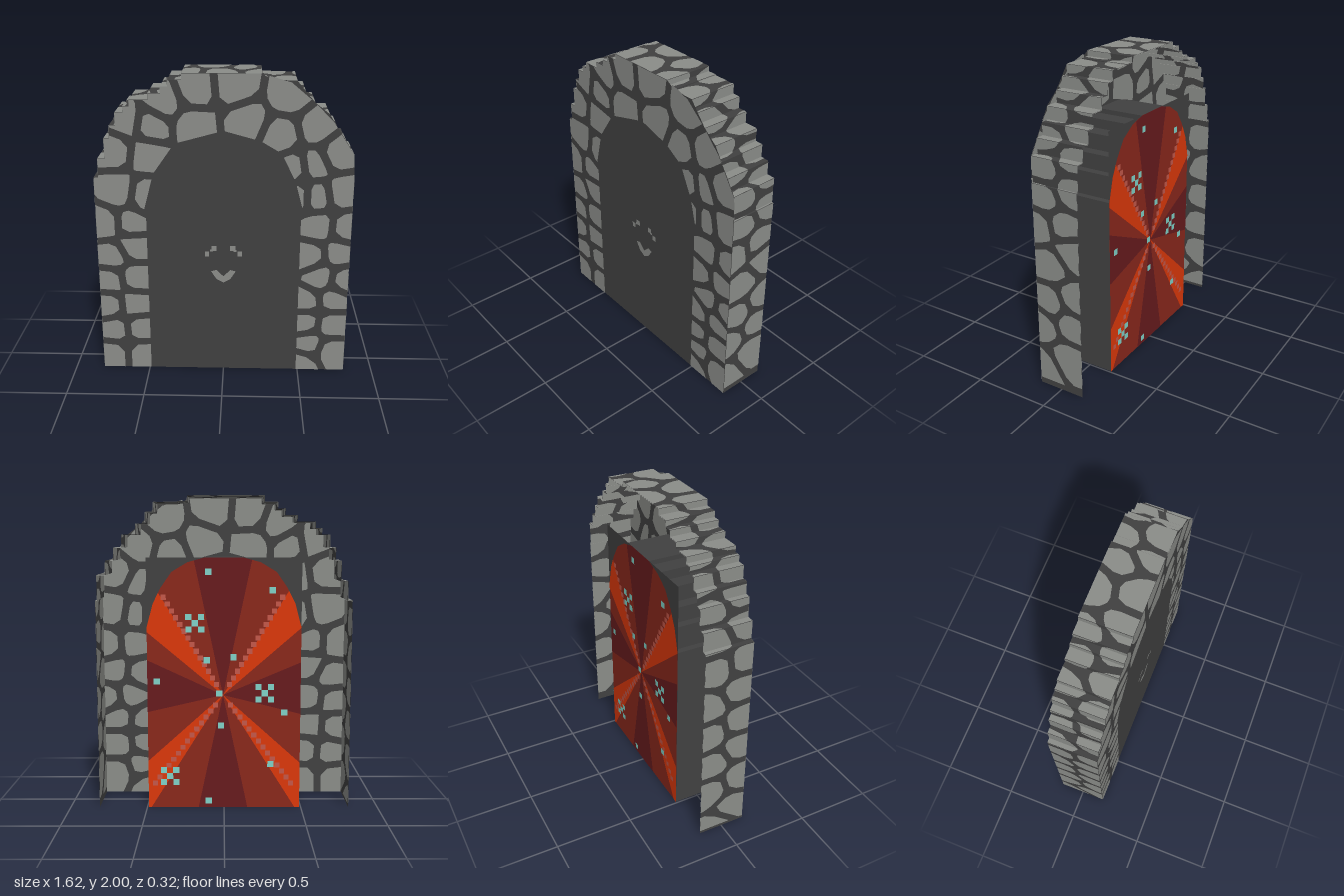
import * as THREE from 'three';

const Z = 0.156;      // half depth
const LIFT = 0.002;   // how far painted plates stand off

const mat = (name, color) =>
  Object.assign(new THREE.MeshStandardMaterial({ color, side: THREE.DoubleSide }), { name });

// Staircase contour: adds the inner corner between each pair of outer corners
function stair(pts) {
  const out = [pts[0]];
  for (let i = 1; i < pts.length; i++) {
    const [a, b] = [pts[i - 1], pts[i]];
    if (a[0] !== b[0] && a[1] !== b[1])
      out.push([Math.abs(a[0]) < Math.abs(b[0]) ? a[0] : b[0], Math.min(a[1], b[1])]);
    out.push(b);
  }
  return out;
}

// Keeps the part of a convex polygon where a*x + b*y <= c
function clip(poly, a, b, c) {
  const out = [];
  poly.forEach((p, i) => {
    const q = poly[(i + 1) % poly.length];
    const dp = a * p[0] + b * p[1] - c, dq = a * q[0] + b * q[1] - c;
    if (dp <= 0) out.push(p);
    if (dp * dq < 0) {
      const t = dp / (dp - dq);
      out.push([p[0] + (q[0] - p[0]) * t, p[1] + (q[1] - p[1]) * t]);
    }
  });
  return out;
}

// Edges of a counter-clockwise polygon as outward half-planes
const edges = (poly) => poly.map((p, i) => {
  const q = poly[(i + 1) % poly.length];
  const a = q[1] - p[1], b = p[0] - q[0], l = Math.hypot(a, b);
  return [a / l, b / l, (a * p[0] + b * p[1]) / l];
});
const clipInside = (poly, planes) => planes.reduce((p, e) => clip(p, ...e), poly);

// Cuts the corners off a polygon
const blunt = (poly) => poly.flatMap((p, i) => {
  const q = poly[(i + 1) % poly.length];
  return [0.2, 0.8].map((t) => [p[0] + (q[0] - p[0]) * t, p[1] + (q[1] - p[1]) * t]);
});
const box = (x, y, w, h) => [[x - w / 2, y - h / 2], [x + w / 2, y - h / 2], [x + w / 2, y + h / 2], [x - w / 2, y + h / 2]];
const mirror = (poly) => poly.map(([x, y]) => [-x, y]);

// One blunt irregular stone around each seed, with mortar gaps between
function stones(seeds, bounds, gap, reach) {
  const limits = edges(bounds);
  return seeds.map((s) => {
    let poly = box(s[0], s[1], reach * 2, reach * 2);
    for (const o of seeds) {
      if (o === s) continue;
      const dx = o[0] - s[0], dy = o[1] - s[1], d = Math.hypot(dx, dy);
      poly = clip(poly, dx / d, dy / d, (dx * (o[0] + s[0]) + dy * (o[1] + s[1])) / 2 / d - gap);
    }
    return clipInside(blunt(poly), limits);
  });
}

// Mesh of flat convex faces given as lists of 3D points
function faces(name, polys, material) {
  const pos = [];
  for (const p of polys)
    for (let i = 1; i + 1 < p.length; i++) pos.push(...p[0], ...p[i], ...p[i + 1]);
  const g = new THREE.BufferGeometry();
  g.setAttribute('position', new THREE.Float32BufferAttribute(pos, 3));
  g.computeVertexNormals();
  const m = new THREE.Mesh(g, material);
  m.name = name;
  return m;
}
const at = (polys, z) => polys.map((poly) => poly.map(([x, y]) => [x, y, z]));
const ribbon = (path) => path.slice(1).map((q, i) => {
  const p = path[i];
  return [[...p, Z], [...q, Z], [...q, -Z], [...p, -Z]];
});

// Arched doorway and stepped outer contour
const halfDoor = [[0.49, 0], [0.49, 1.18], [0.45, 1.33], [0.4, 1.43], [0.33, 1.53], [0.23, 1.59], [0.12, 1.62]];
const door = [...halfDoor, ...mirror(halfDoor).reverse()];
const leftSteps = stair([[-0.81, 0], [-0.81, 1.35], [-0.78, 1.47], [-0.735, 1.6], [-0.7, 1.68], [-0.66, 1.76],
  [-0.61, 1.8], [-0.57, 1.84], [-0.455, 1.88], [-0.38, 1.92], [-0.335, 1.96], [-0.25, 2]]);
const rightSlope = [[0.23, 2], [0.29, 1.965], [0.44, 1.96], [0.49, 1.9], [0.55, 1.83], [0.64, 1.76],
  [0.69, 1.68], [0.745, 1.6], [0.8, 1.51], [0.81, 1.35], [0.81, 0]];
const shellPath = [...leftSteps, ...stair(rightSlope)];

// Stone centres on the front
const jambSeeds = [
  [-0.73, 0.1], [-0.56, 0.1], [-0.71, 0.28], [-0.57, 0.29], [-0.75, 0.47], [-0.59, 0.48], [-0.74, 0.64],
  [-0.58, 0.66], [-0.72, 0.82], [-0.58, 0.89], [-0.75, 1.04], [-0.59, 1.04], [-0.66, 1.26], [-0.49, 1.23],
  [0.53, 0.05], [0.57, 0.19], [0.72, 0.14], [0.54, 0.36], [0.72, 0.34], [0.54, 0.51], [0.72, 0.53],
  [0.63, 0.68], [0.78, 0.66], [0.56, 0.84], [0.74, 0.86], [0.6, 1.03], [0.78, 1.02], [0.47, 1.24],
  [0.58, 1.24], [0.74, 1.27]];
const archSeeds = [
  [-0.67, 1.53], [-0.47, 1.5], [-0.44, 1.68], [-0.6, 1.71], [-0.36, 1.83], [-0.18, 1.69], [-0.17, 1.9],
  [0.07, 1.92], [0.14, 1.72], [0.4, 1.87], [0.36, 1.63], [0.56, 1.68], [0.7, 1.51], [0.56, 1.44], [0.44, 1.42]];
const stoneBounds = [[-0.81, 0], [0.81, 0], [0.81, 1.4], [0.8, 1.51], [0.64, 1.755], [0.55, 1.83], [0.44, 1.94],
  [0.23, 2], [-0.81, 2]];

export function createModel() {
  const root = new THREE.Group();
  root.name = 'stoneDoorway';
  const stone = mat('stone', 0x8b8d89), mortar = mat('mortar', 0x414141);
  const midRed = mat('midRed', 0x8a281c), darkRed = mat('darkRed', 0x681b1e);
  const orange = mat('orange', 0xdc380a), pink = mat('dustyPink', 0xc4584a), teal = mat('teal', 0x80d2c8);

  // Front wall with the closed door in it
  const v2 = (pts) => pts.map(([x, y]) => new THREE.Vector2(x, y));
  const wall = new THREE.Shape(v2([...leftSteps, ...rightSlope]));
  const wallMesh = new THREE.Mesh(new THREE.ShapeGeometry(wall), mortar);
  wallMesh.name = 'frontWallAndDoor';
  wallMesh.position.z = Z;
  root.add(wallMesh);

  // Stones on both sides of the front wall, cut off at the doorway and at each step
  const doorEdges = edges(door);
  const seeds = [...jambSeeds, ...archSeeds];
  const treads = leftSteps.slice(1).map((q, i) => [leftSteps[i], q]).filter(([p, q]) => p[0] === q[0]);
  const frontStones = stones(seeds, stoneBounds, 0.024, 0.16).flatMap((poly, i) => {
    const [x, y] = seeds[i];
    const dist = ([a, b, c]) => a * x + b * y - c;
    const [a, b, c] = doorEdges.reduce((m, e) => (dist(e) > dist(m) ? e : m));
    const cut = clip(poly, -a, -b, -c);
    return treads.map(([p, q]) => clipInside(cut, [[-1, 0, -p[0]], [0, -1, -p[1]], [0, 1, q[1]]]));
  });
  root.add(faces('frontStones', at(frontStones, Z + LIFT), stone));
  root.add(faces('frontStonesInside', at(frontStones, Z - LIFT), stone));

  // Smiling face on the door
  const half = [box(0.06, 0.88, 0.035, 0.035), box(0.105, 0.842, 0.028, 0.035), box(0.075, 0.865, 0.02, 0.015),
    [[0, 0.64], [0.045, 0.665], [0.08, 0.72], [0.045, 0.73], [0, 0.685]]];
  root.add(faces('doorFace', at([...half, ...half.map(mirror)], Z + LIFT), stone));

  // Thin stepped outer shell
  root.add(faces('outerShell', ribbon(shellPath), mortar));

  // Stones wrapped along the shell, inside and outside
  const lengths = shellPath.slice(1).map((q, i) => Math.hypot(q[0] - shellPath[i][0], q[1] - shellPath[i][1]));
  const total = lengths.reduce((a, b) => a + b, 0);
  let state = 7;
  const rand = () => (state = (state * 16807) % 2147483647) / 2147483647 - 0.5;
  const shellSeeds = [];
  for (let s = 0.12; s < total; s += 0.22)
    for (const side of [-1, 1])
      shellSeeds.push([s + side * 0.05 + rand() * 0.1, side * 0.08 + rand() * 0.09]);
  const shellStones = stones(shellSeeds, [[0.02, -Z], [total - 0.04, -Z], [total - 0.04, Z], [0.02, Z]], 0.022, 0.17);
  const wrapped = [];
  let start = 0;
  lengths.forEach((len, i) => {
    const p = shellPath[i], q = shellPath[i + 1];
    const tx = (q[0] - p[0]) / len, ty = (q[1] - p[1]) / len;
    for (const cell of shellStones) {
      const piece = clip(clip(cell, 1, 0, start + len), -1, 0, -start);
      for (const o of [LIFT, -LIFT])
        wrapped.push(piece.map(([s, z]) => [p[0] + tx * (s - start) - ty * o, p[1] + ty * (s - start) + tx * o, z]));
    }
    start += len;
  });
  root.add(faces('shellStones', wrapped, stone));

  // Dark stepped passage behind the door, with a short floor
  root.add(faces('passageWalls', ribbon(stair(door)), mortar));
  root.add(faces('passageFloor', [[[-0.49, 0, 0], [0.49, 0, 0], [0.49, 0, Z], [-0.49, 0, Z]]], mortar));

  // Painted back panel
  root.add(faces('backPanel', at([box(0, 0.81, 0.98, 1.62)], -Z), mortar));
  root.add(faces('redArch', at([door], -Z - 0.001), midRed));
  const hub = [0.007, 0.745];
  const polar = (deg, r) => [hub[0] + r * Math.cos(deg * Math.PI / 180), hub[1] + r * Math.sin(deg * Math.PI / 180)];
  const ray = (from, to) => clipInside([hub, polar(from, 3), polar(to, 3)], doorEdges);
  root.add(faces('darkRays', at([ray(78, 102), ray(-102, -78), ray(-13, 25), ray(157, 194)], -Z - 0.002), darkRed));
  root.add(faces('orangeRays', at([ray(40, 58), ray(122, 139), ray(-58, -42), ray(-138, -122)], -Z - 0.002), orange));

  // Chains of pink squares along the orange rays
  const dots = [];
  for (const deg of [59, 121, -53, -127])
    for (let r = 0.08; r < 0.76; r += 0.05) dots.push(box(...polar(deg, r), 0.033, 0.033));
  root.add(faces('pinkEdges', at(dots, -Z - 0.003), pink));

  // Teal spots, three of them grown into crosses
  const spots = [[0.1, 1.53], [-0.305, 1.415], [0.43, 0.833], [0.11, 0.97], [-0.06, 0.99], [0.03, 0.755],
    [0.02, 0.545], [-0.387, 0.63], [-0.3, 0.29], [0.1, 0.045]];
  for (const [x, y] of [[0.185, 1.207], [-0.26, 0.757], [0.35, 0.21]])
    spots.push([x, y], [x - 0.04, y - 0.04], [x + 0.04, y - 0.04], [x - 0.04, y + 0.04], [x + 0.04, y + 0.04]);
  root.add(faces('tealSpots', at(spots.map(([x, y]) => box(x, y, 0.04, 0.04)), -Z - 0.004), teal));

  return root;
}
